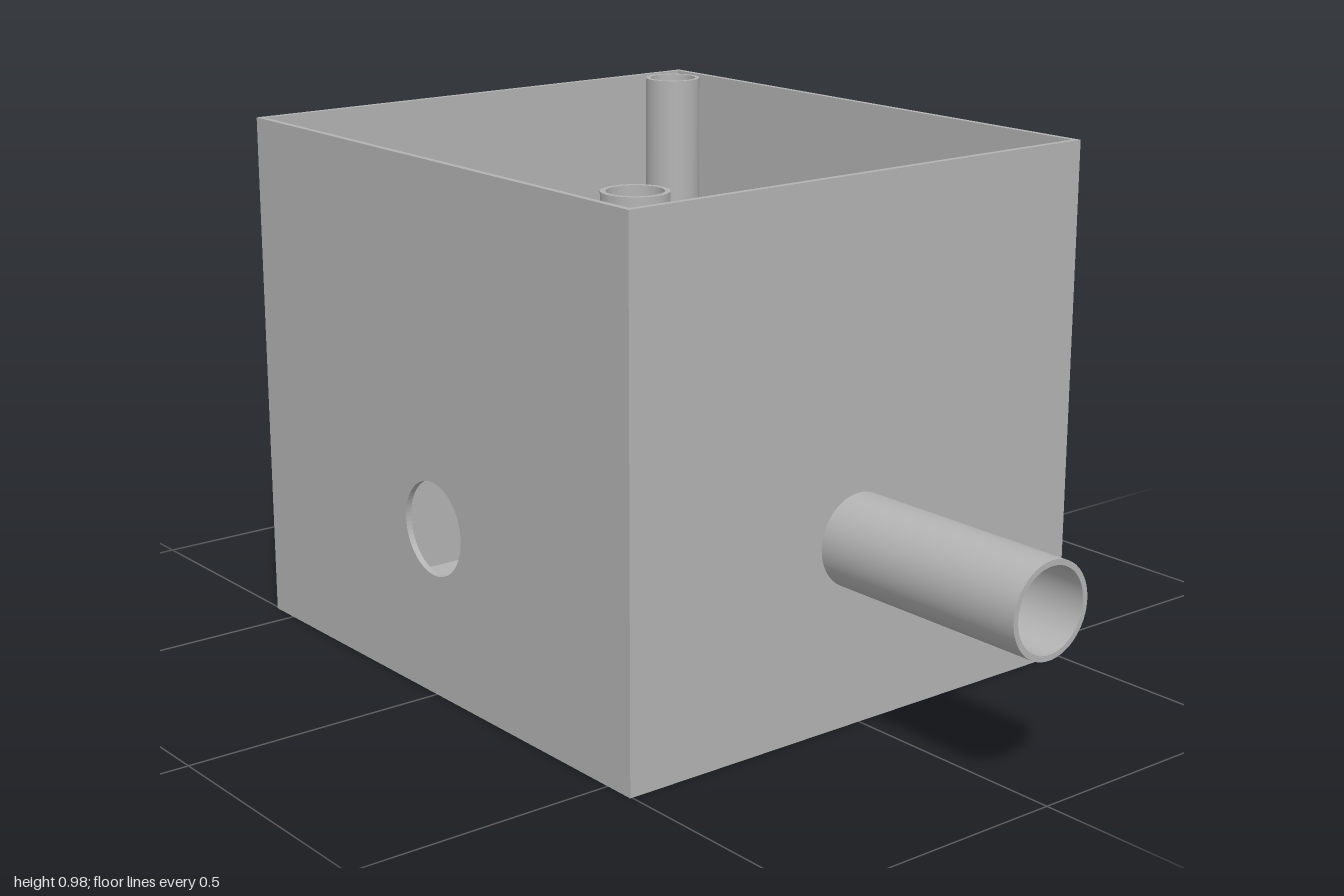
import * as THREE from 'three';

const W = 1.008, H = 0.967, D = 1.12, T = 0.011;
const grey = new THREE.MeshStandardMaterial({ color: 0xb3b3b3 });
grey.name = 'plainGrey';

// Upright panel with one round hole, centred on x, standing on y = 0
function panel(width, holeX, holeY, holeR) {
  const s = new THREE.Shape();
  s.moveTo(-width / 2, 0);
  s.lineTo(width / 2, 0);
  s.lineTo(width / 2, H);
  s.lineTo(-width / 2, H);
  s.closePath();
  s.holes.push(new THREE.Path().absarc(holeX, holeY, holeR, 0, Math.PI * 2, true));
  const g = new THREE.ExtrudeGeometry(s, { depth: T, bevelEnabled: false, curveSegments: 32 });
  return g.translate(0, 0, -T / 2);
}

// Open tube along z from 0 to length, with a real wall thickness
function tube(outer, inner, length) {
  const s = new THREE.Shape().absarc(0, 0, outer, 0, Math.PI * 2, false);
  s.holes.push(new THREE.Path().absarc(0, 0, inner, 0, Math.PI * 2, true));
  const flat = new THREE.ExtrudeGeometry(s, { depth: length, bevelEnabled: false, curveSegments: 32 });
  // Radial normals on the curved walls keep them smooth
  const p = flat.attributes.position, n = flat.attributes.normal;
  for (let i = 0; i < p.count; i++) {
    if (Math.abs(n.getZ(i)) > 0.5) continue;
    const r = Math.hypot(p.getX(i), p.getY(i));
    const sign = r > (outer + inner) / 2 ? 1 : -1;
    n.setXYZ(i, sign * p.getX(i) / r, sign * p.getY(i) / r, 0);
  }
  return flat;
}

export function createModel() {
  const model = new THREE.Group();
  model.name = 'openBox';
  const add = (name, geometry, x, y, z) => {
    const m = new THREE.Mesh(geometry, grey);
    m.name = name;
    m.position.set(x, y, z);
    model.add(m);
    return m;
  };

  // Floor
  add('floor', new THREE.BoxGeometry(W - 2 * T, T, D - 2 * T), 0, T / 2, 0);

  // Front and back walls with their pipes
  const pipeX = -0.011, pipeR = 0.084, bore = 0.074, pipeLength = 1 - D / 2;
  for (const [side, dir, y] of [['front', 1, 0.336], ['back', -1, 0.326]]) {
    add(side + 'Wall', panel(W, pipeX, y, bore), 0, 0, dir * (D - T) / 2);
    add(side + 'Pipe', tube(pipeR, bore, pipeLength), pipeX, y, dir > 0 ? D / 2 : -1);
  }

  // Side walls with round openings
  for (const [side, dir] of [['left', 1], ['right', -1]]) {
    const wall = add(side + 'Wall', panel(D - 2 * T, 0, 0.311, 0.086), dir * (W - T) / 2, 0, 0);
    wall.rotation.y = Math.PI / 2;
  }

  // Hollow corner posts, the front one standing slightly proud of the rim
  for (const [name, x, z, top] of [['frontPost', -0.436, 0.49, 0.978], ['backPost', 0.434, -0.494, 0.964]]) {
    const post = add(name, tube(0.055, 0.046, top - T), x, T, z);
    post.rotation.x = -Math.PI / 2;
  }
  return model;
}
